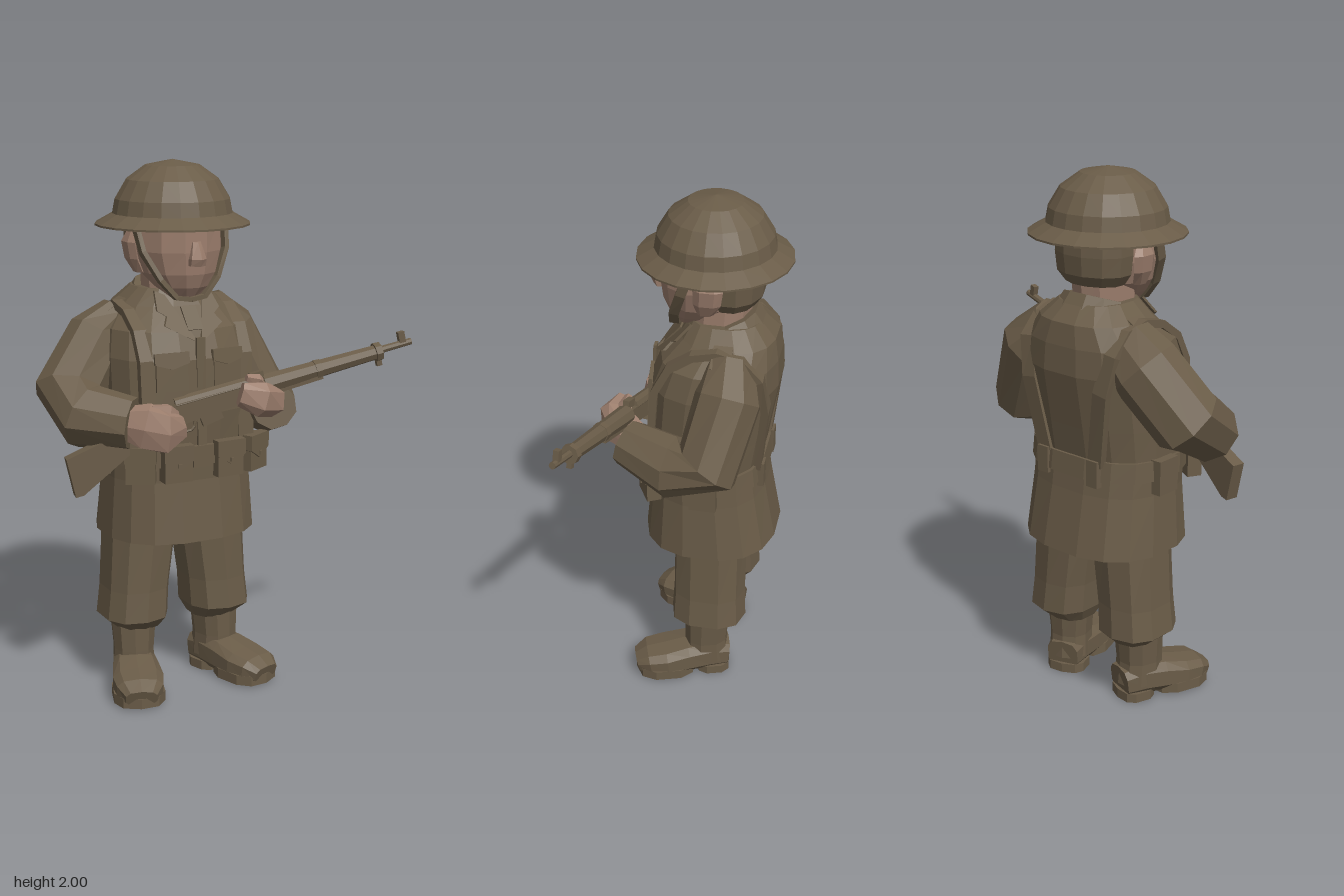
import * as THREE from 'three';

const khaki = new THREE.MeshStandardMaterial({ color: 0x6a5c48 });
khaki.name = 'khaki cloth';
const skin = new THREE.MeshStandardMaterial({ color: 0x9c7e6d });
skin.name = 'skin';

const V = (x, y, z) => new THREE.Vector3(x, y, z);

// Adds a faceted mesh to a parent
function add(parent, name, geo, mat = khaki, pos = [0, 0, 0], rot = [0, 0, 0]) {
  const g = geo.index ? geo.toNonIndexed() : geo;
  g.computeVertexNormals();
  const mesh = new THREE.Mesh(g, mat);
  mesh.name = name;
  mesh.position.set(...pos);
  mesh.rotation.set(...rot);
  parent.add(mesh);
  return mesh;
}
const box = (w, h, d) => new THREE.BoxGeometry(w, h, d);

// Skin over rings [x, y, z, ra, rb]; rings lie flat, or follow the path when ref is given
function loft(rows, n = 12, pow = 1, ref = null) {
  const c = rows.map(r => V(r[0], r[1], r[2]));
  const soft = t => Math.sign(t) * Math.abs(t) ** pow;
  const rings = rows.map((r, i) => {
    let u = V(1, 0, 0), v = V(0, 0, -1);
    if (ref) {
      const t = c[Math.min(i + 1, c.length - 1)].clone().sub(c[Math.max(i - 1, 0)]).normalize();
      v = ref.clone().addScaledVector(t, -ref.dot(t)).normalize();
      u = v.clone().cross(t);
    }
    return Array.from({ length: n }, (_, j) => {
      const a = (j + 0.5) / n * Math.PI * 2;
      return c[i].clone().addScaledVector(u, soft(Math.cos(a)) * r[3]).addScaledVector(v, soft(Math.sin(a)) * r[4]);
    });
  });
  const pts = [], last = rings.length - 1;
  for (let j = 0; j < n; j++) {
    const k = (j + 1) % n;
    for (let i = 0; i < last; i++) {
      const [a, b, d, e] = [rings[i][j], rings[i][k], rings[i + 1][k], rings[i + 1][j]];
      pts.push(a, b, d, a, d, e);
    }
    pts.push(c[0], rings[0][k], rings[0][j], c[last], rings[last][j], rings[last][k]);
  }
  return new THREE.BufferGeometry().setFromPoints(pts);
}

function plate(points, depth) {
  const s = new THREE.Shape(points.map(p => new THREE.Vector2(...p)));
  return new THREE.ExtrudeGeometry(s, { depth, bevelEnabled: false });
}

function buildHead(body) {
  const profile = [[0, 1.79], [0.2, 1.79], [0.286, 1.765], [0.286, 1.772], [0.222, 1.808],
    [0.212, 1.86], [0.17, 1.93], [0.1, 1.98], [0, 2]];
  add(body, 'helmet', new THREE.LatheGeometry(profile.map(p => new THREE.Vector2(...p)), 20), khaki, [0, 0, -0.065]);
  add(body, 'face', loft([[0, 1.51, 0.03, 0.055, 0.045], [0, 1.55, 0.005, 0.1, 0.1], [0, 1.6, -0.02, 0.14, 0.145],
    [0, 1.68, -0.03, 0.165, 0.165], [0, 1.8, -0.04, 0.165, 0.175]], 12), skin);
  add(body, 'hair', loft([[0, 1.6, -0.13, 0.12, 0.09], [0, 1.64, -0.135, 0.15, 0.113], [0, 1.71, -0.135, 0.158, 0.12],
    [0, 1.8, -0.135, 0.156, 0.115]], 12));
  add(body, 'neck', loft([[0, 1.44, -0.075, 0.112, 0.115], [0, 1.64, -0.085, 0.112, 0.125]], 10), skin);
  add(body, 'nose', loft([[0, 1.635, 0.125, 0.034, 0.04], [0, 1.66, 0.13, 0.034, 0.045], [0, 1.72, 0.125, 0.018, 0.02]], 6), skin);
  for (const s of [-1, 1]) {
    add(body, 'ear', loft([[s * 0.14, 1.6, -0.055, 0.02, 0.03], [s * 0.166, 1.65, -0.065, 0.02, 0.05],
      [s * 0.175, 1.71, -0.07, 0.02, 0.055], [s * 0.165, 1.75, -0.065, 0.012, 0.035]], 6), skin);
    add(body, 'chinStrap', loft([[s * 0.18, 1.79, -0.01, 0.012, 0.026], [s * 0.165, 1.68, 0.03, 0.012, 0.026],
      [s * 0.112, 1.58, 0.065, 0.012, 0.026], [s * 0.055, 1.515, 0.075, 0.012, 0.026], [0, 1.507, 0.075, 0.012, 0.026]],
    4, 1, V(0, 0, 1)));
  }
}

function buildCoat(body) {
  add(body, 'coat', loft([[0, 0.62, -0.07, 0.295, 0.258], [0, 0.85, -0.06, 0.28, 0.225], [0, 0.98, -0.05, 0.28, 0.217],
    [0, 1.1, -0.055, 0.283, 0.232], [0, 1.3, -0.078, 0.283, 0.244], [0, 1.4, -0.095, 0.265, 0.222],
    [0, 1.48, -0.125, 0.2, 0.178], [0, 1.54, -0.115, 0.135, 0.13]], 16, 0.8));
  add(body, 'collar', loft([[0, -0.06, 0, 0.165, 0.155], [0, 0.015, 0, 0.13, 0.13]], 12, 0.9), khaki, [0, 1.518, -0.105], [0.33, 0, 0]);
  add(body, 'belt', loft([[0, 0.91, -0.055, 0.292, 0.232], [0, 0.985, -0.05, 0.29, 0.228]], 16, 0.8));
  add(body, 'buckle', box(0.08, 0.08, 0.02), khaki, [0, 0.945, 0.175]);
  add(body, 'frontFlap', box(0.035, 0.4, 0.012), khaki, [0, 1.18, 0.165], [-0.03, 0, 0]);
  add(body, 'shirtFront', box(0.06, 0.1, 0.02), khaki, [0, 1.435, 0.085], [-0.7, 0, 0]);

  for (const s of [-1, 1]) {
    // Lapels lean back along the chest
    const pts = [[0.005, 1.36], [0.115, 1.42], [0.095, 1.45], [0.125, 1.47], [0.11, 1.535], [0.075, 1.52]];
    const lapel = plate(pts.map(([x, y]) => [s * x, y]), 0.012);
    const p = lapel.attributes.position;
    for (let i = 0; i < p.count; i++) p.setZ(i, p.getZ(i) + 0.14 - (p.getY(i) - 1.37) * 0.88);
    add(body, 'lapel', lapel);

    add(body, 'chestPocket', box(0.12, 0.12, 0.02), khaki, [s * 0.11, 1.25, 0.15], [-0.06, s * 0.15, 0]);
    add(body, 'pocketFlap', plate([[-0.065, 0.02], [-0.065, -0.02], [0, -0.04], [0.065, -0.02], [0.065, 0.02]], 0.015),
      khaki, [s * 0.11, 1.31, 0.145], [-0.15, s * 0.15, 0]);
    add(body, 'shoulderStrap', box(0.13, 0.015, 0.07), khaki, [s * 0.205, 1.475, -0.13], [0, 0, -s * 0.5]);

    // Webbing over the shoulder from belt to belt
    const x = s * 0.195;
    add(body, 'webbing', loft([[x, 0.97, 0.135], [x, 1.15, 0.13], [x, 1.3, 0.118], [x, 1.4, 0.066], [x, 1.46, -0.02],
      [x, 1.48, -0.11], [x, 1.46, -0.2], [x, 1.39, -0.268], [s * 0.17, 1.25, -0.288], [s * 0.12, 0.97, -0.258]]
      .map(r => [...r, 0.02, 0.044]), 4, 1, V(1, 0, 0)));

    // Ammunition pouches and other belt kit
    for (const [px, pz, turn] of [[0.105, 0.17, 0.05], [0.23, 0.135, 0.5]]) {
      const pouch = new THREE.Group();
      pouch.name = 'ammoPouch';
      pouch.position.set(s * px, 0.925, pz);
      pouch.rotation.y = s * turn;
      body.add(pouch);
      add(pouch, 'pouchBody', box(0.108, 0.13, 0.055));
      add(pouch, 'pouchFlap', plate([[-0.058, 0.072], [-0.058, 0.015], [0, -0.02], [0.058, 0.015], [0.058, 0.072]], 0.04), khaki, [0, 0, -0.005]);
      add(pouch, 'stud', box(0.015, 0.015, 0.01), khaki, [0, 0, 0.036]);
    }
    add(body, 'sidePouch', box(0.06, 0.13, 0.1), khaki, [s * 0.28, 0.925, -0.08]);
    add(body, 'backTab', box(0.05, 0.1, 0.025), khaki, [s * 0.12, 0.94, -0.272]);
  }
}

function buildLeg(body, s) {
  add(body, 'trouserLeg', loft([[s * 0.158, 0.235, -0.085, 0.085, 0.09], [s * 0.175, 0.285, -0.085, 0.128, 0.148],
    [s * 0.165, 0.4, -0.085, 0.125, 0.142], [s * 0.137, 0.68, -0.085, 0.138, 0.142]], 10, 0.8));
  const boot = new THREE.Group();
  boot.name = 'boot';
  boot.position.set(s * 0.18, 0, -0.06);
  boot.rotation.y = s * 0.32;
  body.add(boot);
  add(boot, 'bootShaft', loft([[0, 0.06, -0.02, 0.08, 0.088], [0, 0.15, -0.015, 0.078, 0.085], [0, 0.27, -0.02, 0.088, 0.09]], 10, 0.85));
  add(boot, 'foot', loft([[0, 0.07, -0.1, 0.065, 0.06], [0, 0.08, -0.02, 0.08, 0.07], [0, 0.075, 0.06, 0.09, 0.068],
    [0, 0.065, 0.15, 0.1, 0.058], [0, 0.06, 0.22, 0.09, 0.05], [0, 0.045, 0.265, 0.06, 0.034]], 10, 0.7, V(0, 1, 0)));
  add(boot, 'sole', loft([[0, 0.006, 0.15, 0.1, 0.12], [0, 0.045, 0.15, 0.1, 0.12]], 10, 0.75));
  add(boot, 'heel', loft([[0, 0, -0.04, 0.078, 0.07], [0, 0.036, -0.04, 0.078, 0.07]], 10, 0.7));
}

function buildArm(root, side, rows, hand, thumb) {
  const at = i => V(...rows[i].slice(0, 3));
  const ref = at(2).sub(at(0)).cross(at(4).sub(at(2))).normalize();
  add(root, side + 'Sleeve', loft(rows, 9, 0.92, ref));
  add(root, side + 'Hand', loft(hand, 7, 0.75, V(0, 1, 0)), skin);
  add(root, side + 'Thumb', loft(thumb, 5, 1, V(0, 0, 1)), skin);
}

function buildRifle(root) {
  const rifle = new THREE.Group();
  rifle.name = 'rifle';
  rifle.position.set(0, 1.175, 0.205);
  rifle.rotation.set(0, -Math.atan(0.2), Math.atan(0.222));
  root.add(rifle);
  add(rifle, 'stock', plate([[-0.67, -0.06], [-0.67, -0.205], [-0.64, -0.205], [-0.4, -0.085], [-0.3, -0.06], [-0.1, -0.045],
    [0.32, -0.035], [0.32, 0.02], [-0.24, 0.025], [-0.32, -0.005], [-0.4, -0.01]], 0.05), khaki, [0, 0, -0.025]);
  const rod = (name, r0, r1, x0, x1, y = 0) => add(rifle, name, new THREE.CylinderGeometry(r1, r0, x1 - x0, 8),
    khaki, [(x0 + x1) / 2, y, 0], [0, 0, -Math.PI / 2]);
  rod('receiver', 0.026, 0.026, -0.24, 0.05, 0.02);
  rod('handguard', 0.038, 0.028, 0.1, 0.54);
  rod('muzzle', 0.015, 0.013, 0.5, 0.69, 0.004);
  for (const x of [0.3, 0.54]) rod('barrelBand', 0.037, 0.035, x, x + 0.025);
  add(rifle, 'magazine', box(0.08, 0.05, 0.035), khaki, [-0.12, -0.055, 0], [0, 0, 0.15]);
  add(rifle, 'triggerGuard', new THREE.TorusGeometry(0.03, 0.006, 5, 10), khaki, [-0.21, -0.06, 0]);
  add(rifle, 'boltHandle', box(0.016, 0.016, 0.08), khaki, [-0.2, 0.015, -0.05], [0.3, 0, 0]);
  add(rifle, 'rearSight', box(0.05, 0.03, 0.025), khaki, [0.08, 0.04, 0]);
  add(rifle, 'frontSight', box(0.025, 0.045, 0.022), khaki, [0.655, 0.028, 0]);
  add(rifle, 'slingLoop', box(0.02, 0.02, 0.02), khaki, [0.55, -0.042, 0]);
}

export function createModel() {
  const root = new THREE.Group();
  root.name = 'soldier';
  const body = new THREE.Group();
  body.name = 'body';
  body.position.x = -0.13;
  root.add(body);
  buildHead(body);
  buildCoat(body);
  for (const s of [-1, 1]) buildLeg(body, s);

  // Bent arms, each with its own pose
  buildArm(root, 'right',
    [[-0.3, 1.41, -0.16, 0.085, 0.11], [-0.39, 1.34, -0.16, 0.12, 0.132], [-0.53, 1.165, -0.1, 0.135, 0.132],
      [-0.52, 1.1, 0.02, 0.12, 0.115], [-0.39, 1.085, 0.14, 0.095, 0.092]],
    [[-0.42, 1.09, 0.13, 0.05, 0.06], [-0.36, 1.08, 0.18, 0.06, 0.085], [-0.29, 1.055, 0.2, 0.05, 0.08], [-0.22, 1.07, 0.19, 0.03, 0.045]],
    [[-0.34, 1.13, 0.18, 0.03, 0.03], [-0.27, 1.13, 0.18, 0.025, 0.025], [-0.22, 1.1, 0.17, 0.015, 0.015]]);
  buildArm(root, 'left',
    [[0.035, 1.41, -0.16, 0.085, 0.11], [0.13, 1.33, -0.165, 0.12, 0.13], [0.235, 1.105, -0.11, 0.124, 0.125],
      [0.22, 1.075, 0.02, 0.118, 0.112], [0.145, 1.11, 0.21, 0.088, 0.085]],
    [[0.14, 1.12, 0.17, 0.055, 0.05], [0.1, 1.14, 0.24, 0.07, 0.06], [0.045, 1.16, 0.28, 0.055, 0.065], [-0.02, 1.18, 0.26, 0.03, 0.045]],
    [[0.1, 1.18, 0.22, 0.03, 0.03], [0.06, 1.22, 0.235, 0.024, 0.024], [0.02, 1.23, 0.23, 0.015, 0.015]]);
  buildRifle(root);
  return root;
}
